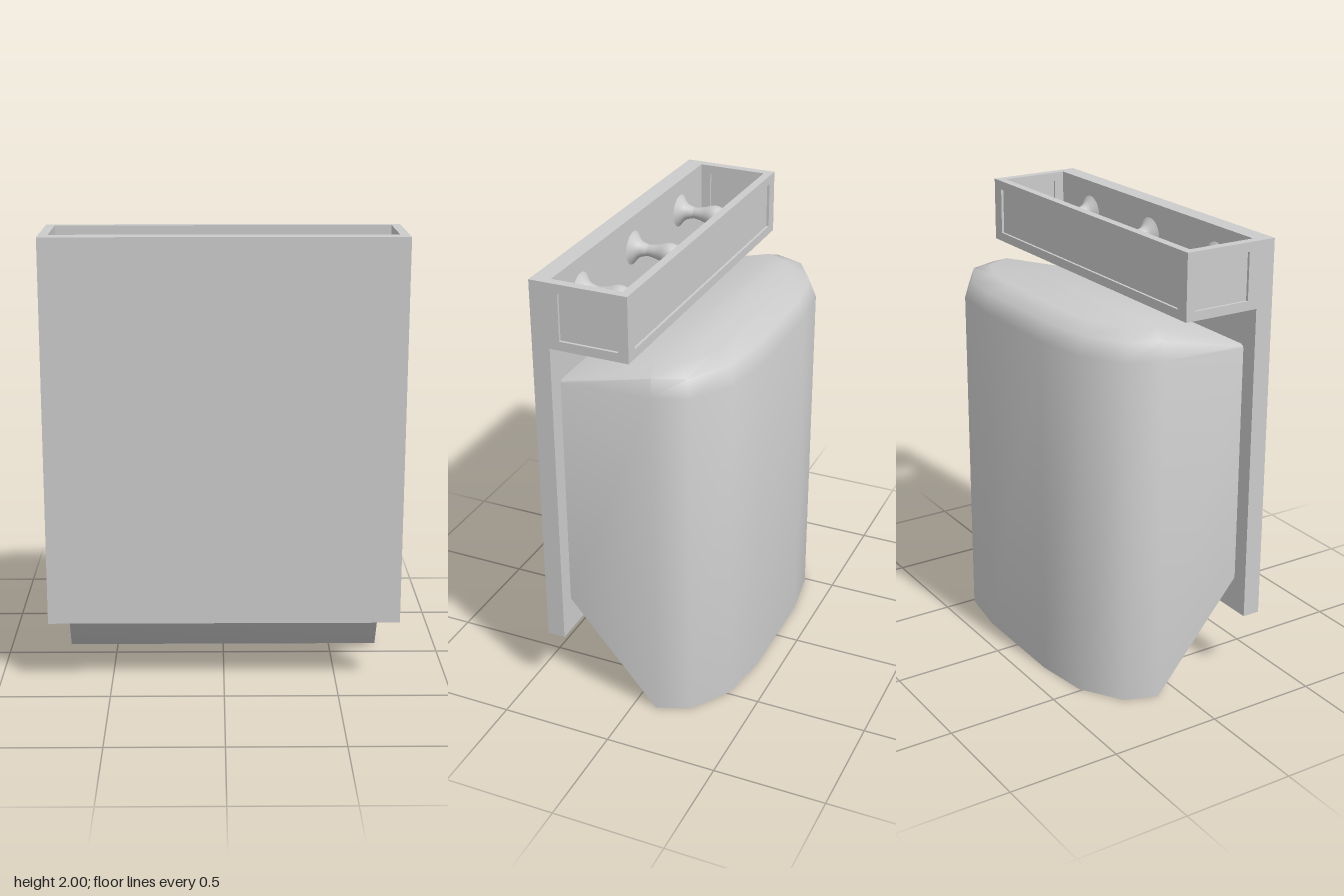
import * as THREE from 'three';
import { toCreasedNormals } from 'three/addons/utils/BufferGeometryUtils.js';

const material = new THREE.MeshStandardMaterial({ color: 0xcccccc });
const openMaterial = new THREE.MeshStandardMaterial({ color: 0xcccccc, side: THREE.DoubleSide });

function part(name, geometry, parent, x = 0, y = 0, z = 0, mat = material) {
  const mesh = new THREE.Mesh(geometry, mat);
  mesh.name = name;
  mesh.position.set(x, y, z);
  parent.add(mesh);
  return mesh;
}

// Closed rectangle centred on the origin
function rectangle(Type, w, h) {
  return new Type([[-w, -h], [w, -h], [w, h], [-w, h]].map(([x, y]) => new THREE.Vector2(x / 2, y / 2)));
}

// Wall with a recessed field on both faces, facing z
function panelledWall(name, w, h, fieldW, fieldH, thickness) {
  const wall = new THREE.Group();
  wall.name = name;
  const shape = rectangle(THREE.Shape, w, h);
  shape.holes.push(rectangle(THREE.Path, fieldW, fieldH));
  const frame = new THREE.ExtrudeGeometry(shape, { depth: thickness, bevelEnabled: false });
  part('wallFrame', frame, wall, 0, 0, -thickness / 2);
  part('wallField', new THREE.BoxGeometry(fieldW, fieldH, thickness * 0.4), wall);
  return wall;
}

// Bag hull: stacked U-shaped rings, closed by cross strips above and below
function bagGeometry() {
  const half = [[0.7, 0.315], [0.72, -0.1], [0.665, -0.245], [0.485, -0.36], [0.245, -0.395]];
  const plan = [...half, ...half.slice().reverse().map(([x, z]) => [-x, z])];
  const n = plan.length;
  // height, height at the mounting end, scale in x, scale in z, scale in x at the mounting end
  const rings = [
    [0, 0.46, 1, 1, 1],
    [1.55, 1.525, 1, 1, 1],
    [1.628, 1.535, 0.97, 0.925, 0.992],
    [1.66, 1.54, 0.85, 0.71, 0.975],
  ];
  const positions = [];
  const index = [];
  for (const [y, endY, sx, sz, endSx] of rings) {
    plan.forEach(([x, z], i) => {
      if (i === 0 || i === n - 1) positions.push(x * endSx, endY, z);
      else positions.push(x * sx, y, z * sz);
    });
  }
  const quad = (a, b, c, d) => index.push(a, b, c, a, c, d);
  for (let r = 0; r < rings.length - 1; r++) {
    for (let i = 0; i < n - 1; i++) {
      const a = r * n + i;
      quad(a, a + 1, a + n + 1, a + n);
    }
  }
  const top = (rings.length - 1) * n;
  for (let i = 0; i < n / 2 - 1; i++) {
    const m = n - 1 - i;
    quad(top + i, top + i + 1, top + m - 1, top + m);
    quad(m, m - 1, i + 1, i);
  }
  const geometry = new THREE.BufferGeometry();
  geometry.setAttribute('position', new THREE.Float32BufferAttribute(positions, 3));
  geometry.setIndex(index);
  return toCreasedNormals(geometry, 1.0);
}

// Turned peg: flared foot, narrow neck and bulb
function pegGeometry() {
  const foot = new THREE.SplineCurve([[0.074, 0], [0.058, 0.012], [0.036, 0.035], [0.025, 0.072]]
    .map(([r, y]) => new THREE.Vector2(r, y))).getPoints(8);
  const bulb = new THREE.SplineCurve([[0.025, 0.076], [0.032, 0.115], [0.046, 0.16], [0.045, 0.19], [0.03, 0.22], [0, 0.232]]
    .map(([r, y]) => new THREE.Vector2(Math.max(r, 0), y))).getPoints(16);
  return new THREE.LatheGeometry([...foot, ...bulb], 24).rotateX(-Math.PI / 2);
}

export function createModel() {
  const model = new THREE.Group();
  model.name = 'pegRackWithBag';

  // Large flat front board
  part('frontBoard', new THREE.BoxGeometry(1.55, 1.7, 0.08), model, 0, 1.15, 0.355);

  // Open box frame behind the top of the board
  const frame = new THREE.Group();
  frame.name = 'topFrame';
  model.add(frame);
  const midY = 1.857;
  const back = panelledWall('rearWall', 1.47, 0.286, 1.43, 0.206, 0.038);
  back.position.set(0, midY, -0.016);
  frame.add(back);
  for (const side of [-1, 1]) {
    const wall = panelledWall(side > 0 ? 'leftWall' : 'rightWall', 0.35, 0.286, 0.26, 0.206, 0.04);
    wall.rotation.y = Math.PI / 2;
    wall.position.set(side * 0.755, midY, 0.14);
    frame.add(wall);
  }

  // Row of three pegs inside the frame
  const peg = pegGeometry();
  for (const x of [-0.49, 0, 0.49]) part('peg', peg, model, x, midY, 0.315);

  // Rounded bag hanging behind the board
  part('bag', bagGeometry(), model, 0, 0, 0, openMaterial);

  return model;
}
